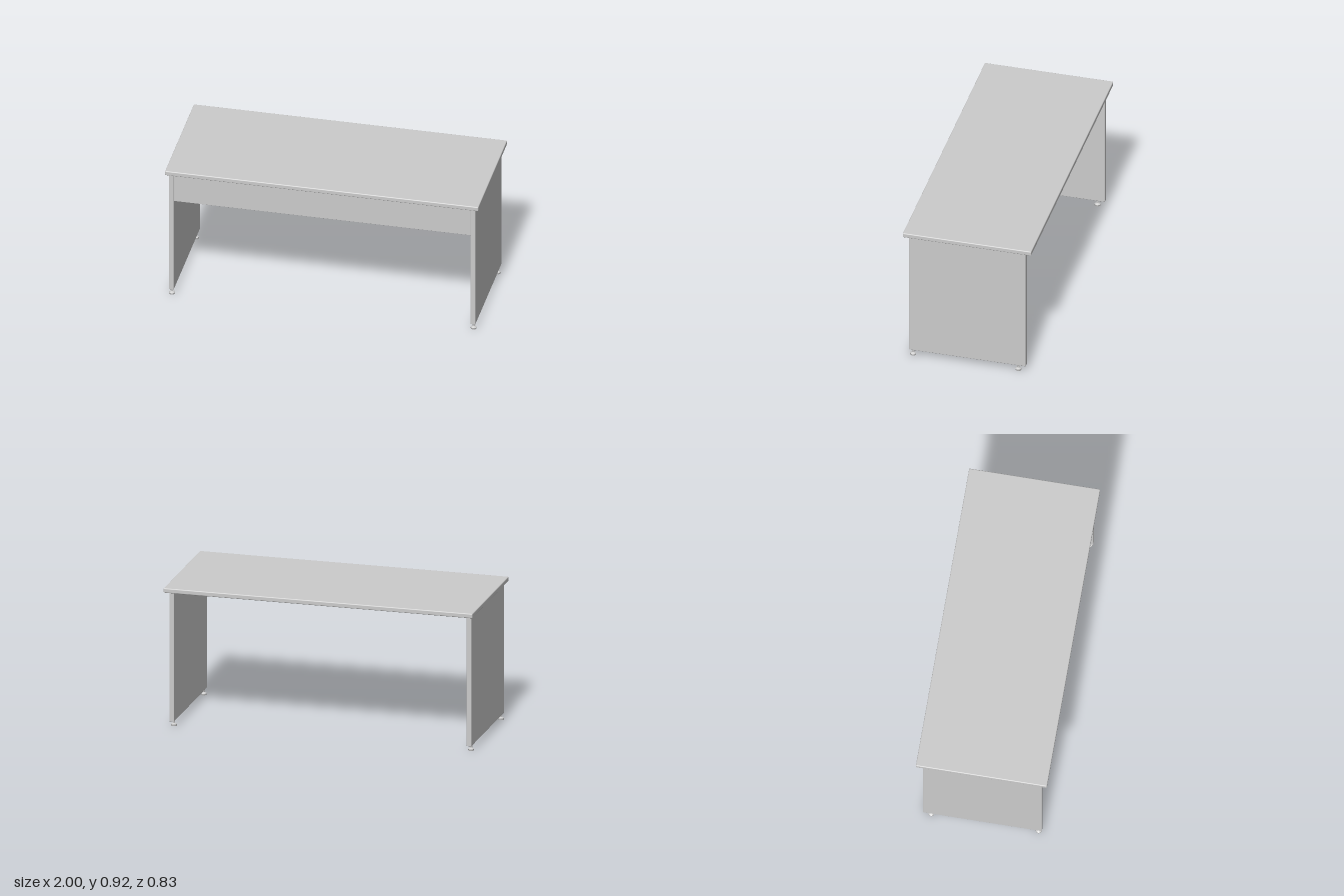
import * as THREE from 'three';
import { RoundedBoxGeometry } from 'three/addons/geometries/RoundedBoxGeometry.js';
import { toCreasedNormals } from 'three/addons/utils/BufferGeometryUtils.js';

const material = new THREE.MeshStandardMaterial({ color: 0xcccccc });

// Board given by its lower and upper corners, with slightly eased edges
function board(name, [x0, y0, z0], [x1, y1, z1], radius) {
  const geometry = new RoundedBoxGeometry(x1 - x0, y1 - y0, z1 - z0, 3, radius);
  const mesh = new THREE.Mesh(geometry, material);
  mesh.name = name;
  mesh.position.set((x0 + x1) / 2, (y0 + y1) / 2, (z0 + z1) / 2);
  return mesh;
}

// Levelling foot: flat disc, tapered shoulder and thin stem
function footGeometry() {
  const profile = [
    [0, 0], [0.018, 0], [0.019, 0.002], [0.019, 0.01],
    [0.009, 0.017], [0.007, 0.018], [0.007, 0.042],
  ].map(([r, y]) => new THREE.Vector2(r, y));
  return toCreasedNormals(new THREE.LatheGeometry(profile, 20), 0.6);
}

export function createModel() {
  const desk = new THREE.Group();
  desk.name = 'desk';

  const underside = 0.887;
  desk.add(board('desktop', [-1, underside, -0.414], [1, 0.917, 0.414], 0.006));

  // Panel legs, each on two levelling feet
  const foot = footGeometry();
  for (const [side, x0, x1] of [['right', -0.982, -0.951], ['left', 0.943, 0.974]]) {
    desk.add(board(`${side}PanelLeg`, [x0, 0.039, -0.372], [x1, underside, 0.38], 0.004));
    for (const [end, z] of [['Front', 0.357], ['Back', -0.321]]) {
      const mesh = new THREE.Mesh(foot, material);
      mesh.name = `${side}${end}Foot`;
      mesh.position.set((x0 + x1) / 2, 0, z);
      desk.add(mesh);
    }
  }

  // Modesty panel between the legs, just behind their front edges
  desk.add(board('modestyPanel', [-0.951, 0.68, 0.34], [0.943, underside, 0.37], 0.002));

  return desk;
}
